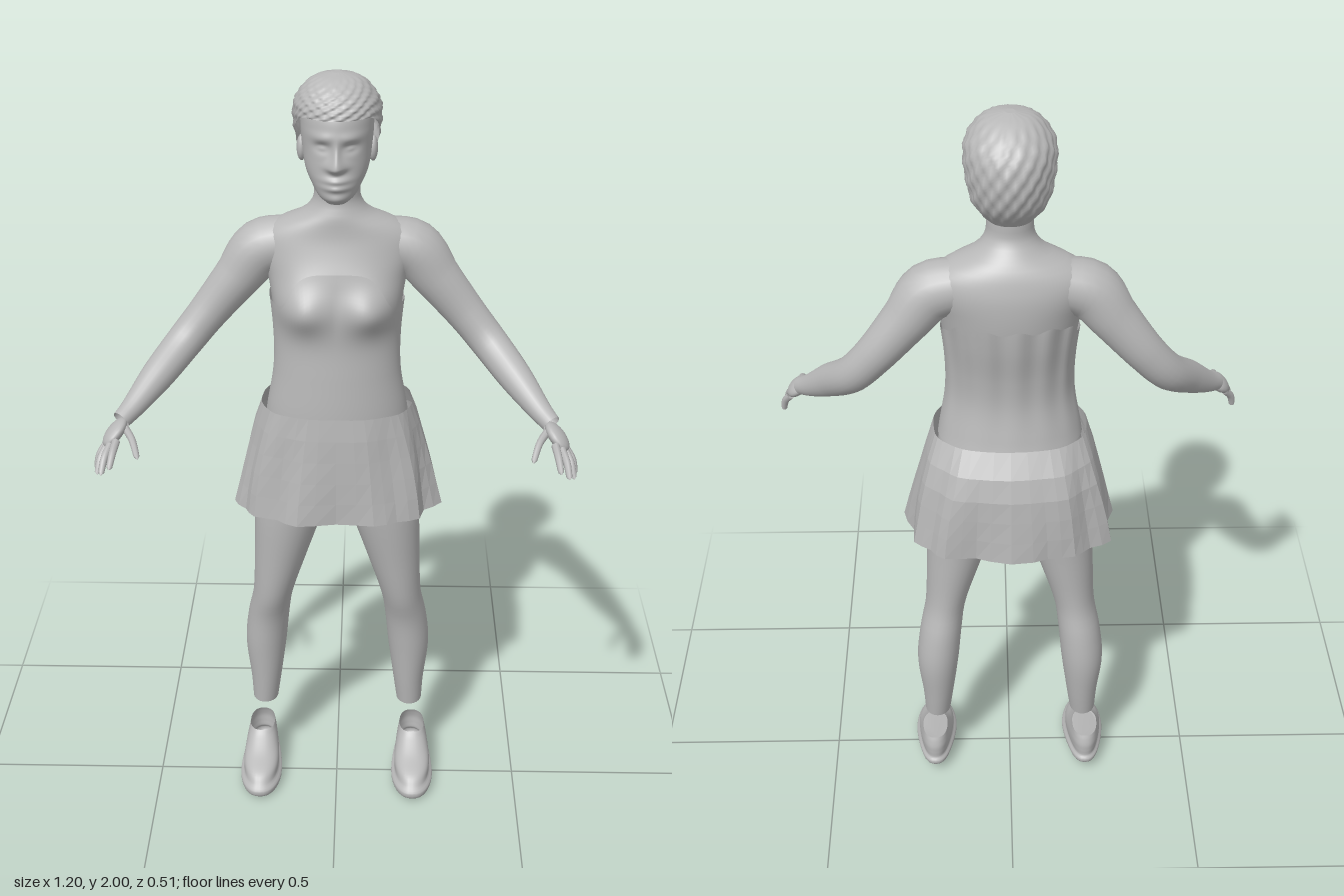
import * as THREE from 'three';

const grey = new THREE.MeshStandardMaterial({ color: 0xb8b8b8, side: THREE.DoubleSide });
grey.name = 'plain grey';
const greyFlat = grey.clone();
greyFlat.name = 'plain grey faceted';
greyFlat.flatShading = true;

const bell = (d, w) => Math.exp(-(d * d) / (w * w));
const step = THREE.MathUtils.smoothstep;

// Smooth lookup of column k in rows that are sorted by height
function sample(rows, y, k) {
  let i = 0;
  while (i < rows.length - 2 && y > rows[i + 1][0]) i++;
  const slope = (j) => {
    const a = rows[Math.max(j - 1, 0)], b = rows[Math.min(j + 1, rows.length - 1)];
    return (b[k] - a[k]) / (b[0] - a[0]);
  };
  const h = rows[i + 1][0] - rows[i][0];
  const t = THREE.MathUtils.clamp((y - rows[i][0]) / h, 0, 1), t2 = t * t, t3 = t2 * t;
  return (2 * t3 - 3 * t2 + 1) * rows[i][k] + (t3 - 2 * t2 + t) * h * slope(i)
    + (3 * t2 - 2 * t3) * rows[i + 1][k] + (t3 - t2) * h * slope(i + 1);
}

// Skin over horizontal sections; rows are [y, centreX, halfWidth, frontZ, backZ]
function loft(rows, { n = 36, m = 30, lo, hi, power = 2, grow = 0, bump, capLo, capHi } = {}) {
  const pos = [], index = [], first = rows[0][0], last = rows[rows.length - 1][0];
  for (let j = 0; j <= m; j++) for (let i = 0; i < n; i++) {
    const a = (i / n) * Math.PI * 2;
    const y = THREE.MathUtils.lerp(lo ? lo(a) : first, hi ? hi(a) : last, j / m);
    const [cx, w, f, b] = [1, 2, 3, 4].map((k) => sample(rows, y, k));
    const c = Math.cos(a), s = Math.sin(a), e = 2 / power;
    const p = new THREE.Vector3(
      cx + (Math.max(w, 0.002) + grow) * Math.sign(c) * Math.abs(c) ** e, y,
      (f + b) / 2 + ((f - b) / 2 + grow) * Math.sign(s) * Math.abs(s) ** e);
    if (bump) bump(p, a, j / m);
    pos.push(p.x, p.y, p.z);
  }
  for (let j = 0; j < m; j++) for (let i = 0; i < n; i++) {
    const k = (i + 1) % n, a = j * n + i, b = j * n + k;
    index.push(a, a + n, b, b, a + n, b + n);
  }
  const cap = (j, top) => {
    const ring = pos.slice(j * n * 3, (j + 1) * n * 3), start = pos.length / 3, mid = [0, 0, 0];
    ring.forEach((v, q) => { mid[q % 3] += v / n; });
    pos.push(...ring, ...mid);
    for (let i = 0; i < n; i++) {
      const k = (i + 1) % n;
      index.push(start + n, start + (top ? k : i), start + (top ? i : k));
    }
  };
  if (capLo) cap(0, false);
  if (capHi) cap(m, true);
  return finish(pos, index);
}

function finish(pos, index) {
  const g = new THREE.BufferGeometry();
  g.setAttribute('position', new THREE.Float32BufferAttribute(pos, 3));
  g.setIndex(index);
  g.computeVertexNormals();
  return g;
}

// Round limb through points [x, y, z, radius], mirrored by side
function limb(points, side, segments, sides) {
  const curve = new THREE.CatmullRomCurve3(points.map(([x, y, z]) => new THREE.Vector3(x * side, y, z)));
  const rows = points.map((p, i) => [i / (points.length - 1), p[3]]);
  const g = new THREE.TubeGeometry(curve, segments, 1, sides);
  const p = g.attributes.position, v = new THREE.Vector3();
  for (let j = 0; j <= segments; j++) {
    const c = curve.getPointAt(j / segments), r = sample(rows, curve.getUtoTmapping(j / segments), 1);
    for (let i = 0; i <= sides; i++) {
      const k = j * (sides + 1) + i;
      v.fromBufferAttribute(p, k).sub(c).multiplyScalar(r).add(c);
      p.setXYZ(k, v.x, v.y, v.z);
    }
  }
  return g;
}

const TORSO = [
  [0.87, 0, 0.15, 0.04, -0.14], [0.92, 0, 0.2, 0.06, -0.18], [1.0, 0, 0.205, 0.07, -0.19],
  [1.1, 0, 0.182, 0.075, -0.17], [1.16, 0, 0.172, 0.075, -0.155], [1.25, 0, 0.157, 0.07, -0.14],
  [1.33, 0, 0.155, 0.065, -0.145], [1.43, 0, 0.163, 0.065, -0.165], [1.5, 0, 0.175, 0.05, -0.174],
  [1.56, 0, 0.195, 0.028, -0.174], [1.6, 0, 0.19, 0.016, -0.166], [1.63, 0, 0.15, 0.012, -0.155],
  [1.655, 0, 0.09, 0.01, -0.138], [1.69, 0, 0.06, 0, -0.112], [1.73, 0, 0.056, 0.005, -0.11],
  [1.78, 0, 0.055, 0.005, -0.11]];
const HEAD = [
  [1.705, 0, 0.025, 0.045, -0.01], [1.72, 0, 0.044, 0.06, -0.05], [1.745, 0, 0.06, 0.064, -0.085],
  [1.78, 0, 0.076, 0.063, -0.12], [1.83, 0, 0.084, 0.06, -0.15], [1.88, 0, 0.088, 0.06, -0.165],
  [1.92, 0, 0.085, 0.05, -0.16], [1.96, 0, 0.065, 0.015, -0.13], [1.985, 0, 0.02, -0.04, -0.08]];
const HAIR = [
  [1.74, 0, 0.055, -0.01, -0.13], [1.79, 0, 0.088, 0.02, -0.175], [1.84, 0, 0.1, 0.04, -0.194],
  [1.89, 0, 0.106, 0.06, -0.196], [1.93, 0, 0.102, 0.057, -0.183], [1.965, 0, 0.08, 0.03, -0.15],
  [1.988, 0, 0.05, -0.01, -0.11], [1.996, 0, 0.012, -0.05, -0.075]];
const SKIRT = [
  [0.86, 0, 0.262, 0.105, -0.245], [0.96, 0, 0.245, 0.1, -0.243], [1.06, 0, 0.222, 0.095, -0.235],
  [1.12, 0, 0.205, 0.092, -0.21], [1.155, 0, 0.193, 0.088, -0.185]];
const LEG = [
  [0.21, 0.203, 0.035, -0.03, -0.118], [0.28, 0.2, 0.042, -0.022, -0.13], [0.4, 0.198, 0.056, -0.01, -0.144],
  [0.5, 0.188, 0.056, 0.002, -0.136], [0.58, 0.174, 0.054, 0.025, -0.12], [0.7, 0.152, 0.07, 0.042, -0.122],
  [0.86, 0.122, 0.094, 0.06, -0.135], [0.94, 0.105, 0.1, 0.06, -0.16]];
const SHOE = [
  [0, 0.213, 0.05, 0.128, -0.125], [0.01, 0.213, 0.058, 0.14, -0.135], [0.028, 0.213, 0.059, 0.141, -0.136],
  [0.034, 0.213, 0.051, 0.132, -0.13], [0.06, 0.213, 0.052, 0.105, -0.13], [0.085, 0.213, 0.049, 0.045, -0.13],
  [0.11, 0.213, 0.044, 0.004, -0.125], [0.125, 0.213, 0.041, -0.012, -0.12]];
const ARM = [
  [0.12, 1.57, -0.08, 0.065], [0.19, 1.55, -0.08, 0.072], [0.25, 1.475, -0.083, 0.06], [0.33, 1.375, -0.08, 0.05],
  [0.385, 1.31, -0.058, 0.047], [0.45, 1.245, 0.015, 0.042], [0.51, 1.185, 0.085, 0.029], [0.535, 1.165, 0.115, 0.024]];
// Finger paths: knuckle, middle joint, tip
const FINGERS = {
  index: [[0.54, 1.14, 0.185], [0.545, 1.125, 0.22], [0.55, 1.1, 0.252]],
  middle: [[0.555, 1.13, 0.175], [0.567, 1.108, 0.212], [0.573, 1.078, 0.238]],
  ring: [[0.565, 1.12, 0.16], [0.58, 1.095, 0.188], [0.588, 1.063, 0.206]],
  little: [[0.57, 1.115, 0.145], [0.587, 1.09, 0.16], [0.594, 1.058, 0.17]],
  thumb: [[0.525, 1.155, 0.135], [0.502, 1.14, 0.175], [0.487, 1.11, 0.212]],
};

const bust = (p, a) => {
  if (Math.sin(a) > 0) p.z += 0.036 * bell(Math.abs(p.x) - 0.085, 0.06) * bell(p.y - 1.435, 0.055) * step(Math.sin(a), 0, 0.4);
};

// Nose, lips, brow, chin and eye sockets
const face = (p, a) => {
  if (Math.sin(a) < 0.2) return;
  const x = Math.abs(p.x), y = p.y;
  const nose = y > 1.8 ? bell(y - 1.8, 0.04) : bell(y - 1.8, 0.013);
  p.z += 0.026 * bell(x, 0.008 + 0.012 * bell(y - 1.8, 0.02)) * nose;
  p.z += 0.011 * bell(x, 0.03) * (bell(y - 1.768, 0.009) + bell(y - 1.75, 0.009));
  p.z += 0.007 * bell(x, 0.025) * bell(y - 1.722, 0.014);
  p.z += 0.005 * bell(x - 0.034, 0.028) * bell(y - 1.868, 0.012);
  p.z -= 0.011 * bell(x - 0.034, 0.018) * bell(y - 1.844, 0.012);
  p.z += 0.006 * bell(x - 0.034, 0.011) * bell(y - 1.842, 0.006);
};

export function createModel() {
  const model = new THREE.Group();
  const add = (name, geometry, material = grey) => {
    const mesh = new THREE.Mesh(geometry, material);
    mesh.name = name;
    model.add(mesh);
    return mesh;
  };

  add('torso', loft(TORSO, { m: 70, n: 64, bump: bust, capLo: true }));
  add('head', loft(HEAD, { m: 90, n: 120, bump: face, capLo: true, capHi: true }));

  // Strapless top with an arched front edge and gathered back
  add('bodice', loft(TORSO, {
    m: 40, n: 96, grow: 0.005, lo: () => 1.13,
    hi: (a) => Math.sin(a) > 0
      ? 1.44 + 0.09 * step(Math.sin(a), 0.55, 1) : 1.44 + 0.045 * step(-Math.sin(a), 0.1, 0.8) + 0.008 * Math.sin(a * 14),
    bump: (p, a, t) => {
      bust(p, a);
      if (Math.sin(a) < 0) p.z -= 0.005 * t * Math.sin(a * 14);
      else p.z += 0.012 * t ** 6 * Math.sin(a);
    },
  }));

  // Cropped hair with a woven relief; the hairline drops from brow to nape
  add('hair', loft(HAIR, {
    m: 36, n: 72, capHi: true,
    lo: (a) => 1.745 + 0.165 * step(Math.sin(a), -0.75, 0.75),
    bump: (p, a, t) => {
      const r = 1 + 0.035 * Math.sin(a * 18) * Math.sin(t * 30);
      p.x *= r;
      p.z = -0.065 + (p.z + 0.065) * r;
    },
  }));

  // Crumpled pleats that open toward the hem
  add('skirt', loft(SKIRT, {
    m: 5, n: 44, power: 2.5,
    bump: (p, a, t) => {
      const fold = Math.sin(a * 11) + 0.6 * Math.sin(a * 7 + 1 + t * 3);
      const r = 1 + (0.035 * (1 - t) + 0.006) * fold;
      p.x *= r;
      p.z = -0.07 + (p.z + 0.07) * r;
    },
  }), greyFlat);

  for (const side of [1, -1]) {
    const label = side > 0 ? 'left' : 'right';
    const mirror = (rows) => rows.map(([y, x, ...rest]) => [y, x * side, ...rest]);
    add(label + 'Leg', loft(mirror(LEG), { n: 28, capLo: true }));

    // Shoe with a raised heel and an open collar
    add(label + 'Shoe', loft(mirror(SHOE), {
      n: 40, m: 28, power: 2.3, capLo: true,
      bump: (p) => {
        const back = 1 - step(p.z, -0.1, 0.07);
        p.x += (0.213 * side - p.x) * 0.18 * back;
        p.y += 0.028 * back * (1 - p.y / 0.125);
      },
    }));

    const ear = add(label + 'Ear', new THREE.SphereGeometry(1, 14, 10));
    ear.position.set(0.086 * side, 1.815, -0.055);
    ear.scale.set(0.012, 0.032, 0.02);

    add(label + 'Arm', limb(ARM, side, 36, 20));

    // Flat palm laid along the hand
    const along = new THREE.Vector3(0.045 * side, -0.05, 0.09).normalize();
    const normal = along.clone().cross(new THREE.Vector3(0.035 * side, -0.03, -0.05)).normalize();
    const palm = add(label + 'Palm', new THREE.SphereGeometry(1, 18, 12));
    palm.quaternion.setFromRotationMatrix(new THREE.Matrix4().makeBasis(normal.clone().cross(along), normal, along));
    palm.position.set(0.548 * side, 1.145, 0.143);
    palm.scale.set(0.035, 0.018, 0.046);

    for (const [name, [a, b, c]] of Object.entries(FINGERS)) {
      const tip = c.map((v, i) => v + (v - b[i]) * 0.12);
      add(`${label} ${name} finger`, limb([[...a, 0.0105], [...b, 0.0095], [...c, 0.007], [...tip, 0.001]], side, 12, 8));
    }
  }
  return model;
}
